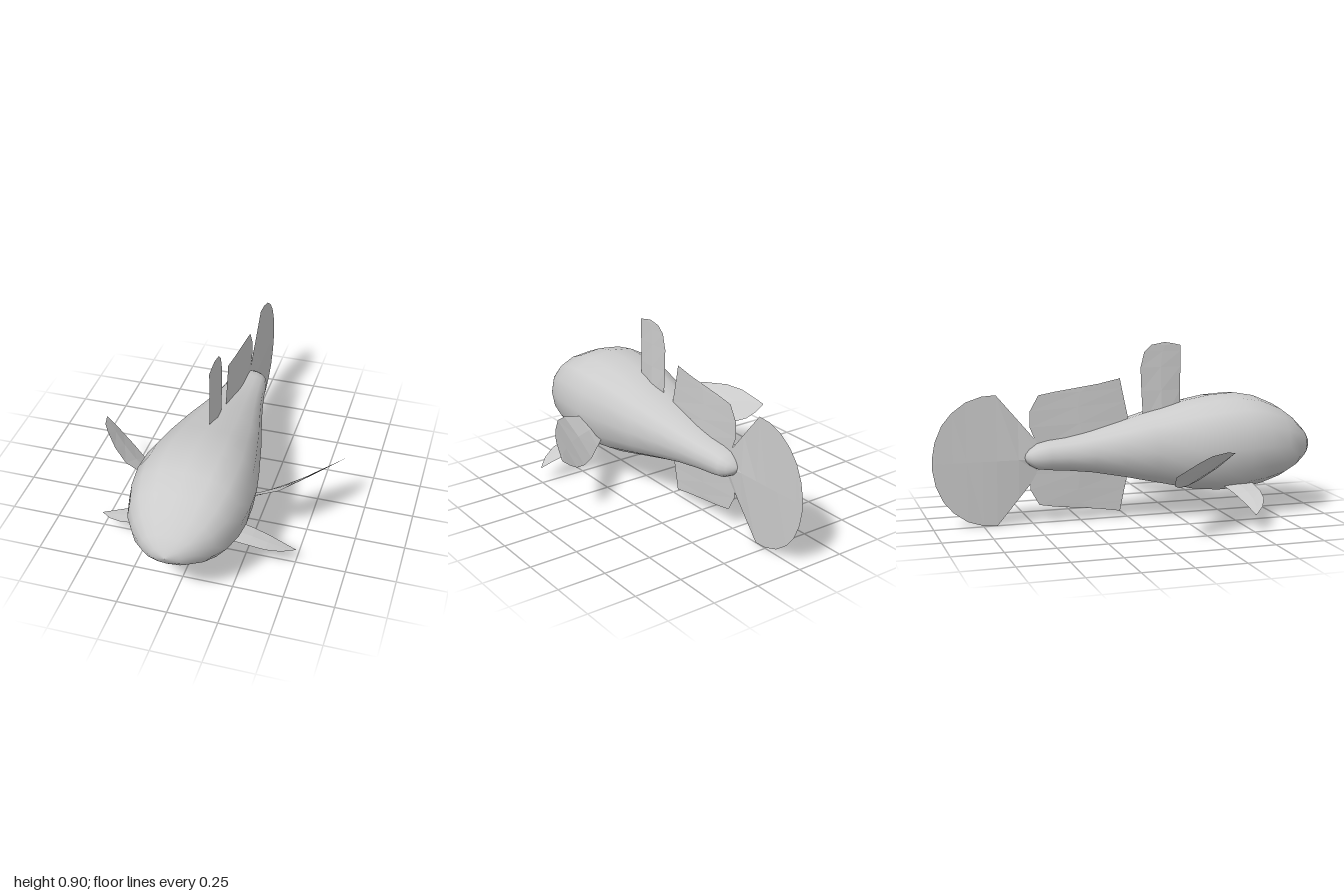
import * as THREE from 'three';

// Skin a list of closed rings (each an array of Vector3) into one surface
function loft(rings) {
  const n = rings[0].length, index = [];
  for (let i = 0; i < rings.length - 1; i++) {
    for (let j = 0; j < n; j++) {
      const a = i * n + j, b = i * n + (j + 1) % n, c = a + n, d = b + n;
      index.push(a, c, b, b, c, d);
    }
  }
  const geo = new THREE.BufferGeometry().setFromPoints(rings.flat());
  geo.setIndex(index);
  geo.computeVertexNormals();
  return geo;
}

// Thin lens-section fin between a leading and a trailing edge, tapering to its tip.
// Each row is [lead xyz, trail xyz].
function makeFin(name, rows, thickness) {
  const pairs = rows.map(([l, t]) => [new THREE.Vector3(...l), new THREE.Vector3(...t)]);
  const mids = pairs.map(([l, t]) => l.clone().lerp(t, 0.5));
  const last = pairs.length - 1;
  const span = mids[last].clone().sub(mids[0]);
  const chord = pairs[1][1].clone().sub(pairs[1][0]);
  const normal = span.clone().cross(chord).normalize();
  const rings = pairs.map(([l, t], i) => {
    const k = thickness * (1 - mids[i].distanceTo(mids[0]) / span.length()) ;
    const off = normal.clone().multiplyScalar(i === last ? 0 : Math.max(k, 0.001));
    return [l, mids[i].clone().add(off), t, mids[i].clone().sub(off)];
  });
  const mat = new THREE.MeshStandardMaterial({ color: 0xcccccc, flatShading: true, side: THREE.DoubleSide });
  const mesh = new THREE.Mesh(loft(rings).toNonIndexed(), mat);
  mesh.geometry.computeVertexNormals();
  mesh.name = name;
  return mesh;
}

// Body sections: z, half width, top y, bottom y
const BODY = [
  [1.0, 0.001, 0.341, 0.339], [0.985, 0.07, 0.385, 0.3], [0.95, 0.13, 0.43, 0.265],
  [0.88, 0.2, 0.497, 0.215], [0.8, 0.25, 0.555, 0.175], [0.69, 0.28, 0.603, 0.142],
  [0.58, 0.29, 0.623, 0.125], [0.45, 0.285, 0.616, 0.121], [0.32, 0.262, 0.594, 0.134],
  [0.1, 0.215, 0.538, 0.185], [-0.05, 0.177, 0.496, 0.219], [-0.2, 0.141, 0.457, 0.249],
  [-0.33, 0.115, 0.43, 0.265], [-0.42, 0.102, 0.42, 0.272], [-0.48, 0.09, 0.405, 0.28],
  [-0.515, 0.065, 0.382, 0.3], [-0.533, 0.035, 0.36, 0.32], [-0.54, 0.001, 0.341, 0.339],
];

function makeBody() {
  // Slightly squared ellipse with 16 sides
  const soft = (v) => Math.sign(v) * Math.pow(Math.abs(v), 0.86);
  const rings = BODY.map(([z, w, top, bottom]) => Array.from({ length: 16 }, (_, j) => {
    const a = (j / 16) * Math.PI * 2;
    return new THREE.Vector3(w * soft(Math.cos(a)),
      (top + bottom) / 2 + ((top - bottom) / 2) * soft(Math.sin(a)), z);
  }));
  const mesh = new THREE.Mesh(loft(rings), new THREE.MeshStandardMaterial({ color: 0xcccccc }));
  mesh.name = 'body';
  return mesh;
}

// Rows of a fin lying in the middle plane: [lead z, lead y, trail z, trail y]
const upright = (rows) => rows.map(([z1, y1, z2, y2]) => [[0, y1, z1], [0, y2, z2]]);

export function createModel() {
  const model = new THREE.Group();
  model.name = 'fish';
  model.add(makeBody());

  // Front dorsal fin
  model.add(makeFin('dorsalFin', upright([
    [0.285, 0.48, 0.085, 0.48], [0.285, 0.65, 0.075, 0.65], [0.285, 0.77, 0.07, 0.77],
    [0.285, 0.85, 0.09, 0.85], [0.285, 0.88, 0.13, 0.885], [0.24, 0.89, 0.2, 0.897],
  ]), 0.012));

  // Long rear fins above and below the tail stem
  const rear = [
    [0.01, 0.42, -0.465, 0.38], [0.005, 0.51, -0.51, 0.49], [-0.015, 0.6, -0.51, 0.57],
    [-0.03, 0.67, -0.465, 0.65], [-0.037, 0.705, -0.38, 0.665],
    [-0.04, 0.72, -0.25, 0.675], [-0.04, 0.72, -0.15, 0.69],
  ];
  model.add(makeFin('rearDorsalFin', upright(rear), 0.01));
  model.add(makeFin('analFin', upright(rear.map(
    ([z1, y1, z2, y2]) => [z1, 0.752 - y1, z2, 0.742 - y2])), 0.01));

  // Rounded tail fin, symmetrical about y = 0.33: z and half height
  const tail = [
    [-0.46, 0.07], [-0.57, 0.2], [-0.68, 0.33], [-0.75, 0.326], [-0.83, 0.3],
    [-0.9, 0.25], [-0.95, 0.19], [-0.985, 0.11], [-1.0, 0.03],
  ];
  model.add(makeFin('tailFin', upright(tail.map(
    ([z, h]) => [z, 0.33 + h, z, 0.33 - h])), 0.013));

  // Paired side fins
  const pectoral = [
    [[0.22, 0.325, 0.47], [0.2, 0.245, 0.36]],
    [[0.29, 0.347, 0.46], [0.28, 0.23, 0.29]],
    [[0.39, 0.377, 0.435], [0.38, 0.226, 0.19]],
    [[0.47, 0.4, 0.365], [0.47, 0.24, 0.115]],
    [[0.55, 0.402, 0.255], [0.54, 0.263, 0.07]],
    [[0.595, 0.385, 0.175], [0.59, 0.295, 0.05]],
    [[0.637, 0.335, 0.05], [0.634, 0.33, 0.042]],
  ];
  const pelvic = [
    [[0.14, 0.18, 0.62], [0.14, 0.172, 0.46]],
    [[0.29, 0.158, 0.615], [0.29, 0.148, 0.476]],
    [[0.37, 0.137, 0.602], [0.37, 0.128, 0.486]],
    [[0.44, 0.112, 0.566], [0.44, 0.106, 0.496]],
    [[0.502, 0.087, 0.507], [0.502, 0.085, 0.503]],
  ];
  for (const [side, s] of [['left', 1], ['right', -1]]) {
    const mirror = (rows) => rows.map((row) => row.map(([x, y, z]) => [x * s, y, z]));
    model.add(makeFin(side + 'PectoralFin', mirror(pectoral), 0.008));
    model.add(makeFin(side + 'PelvicFin', mirror(pelvic), 0.006));
  }
  return model;
}
